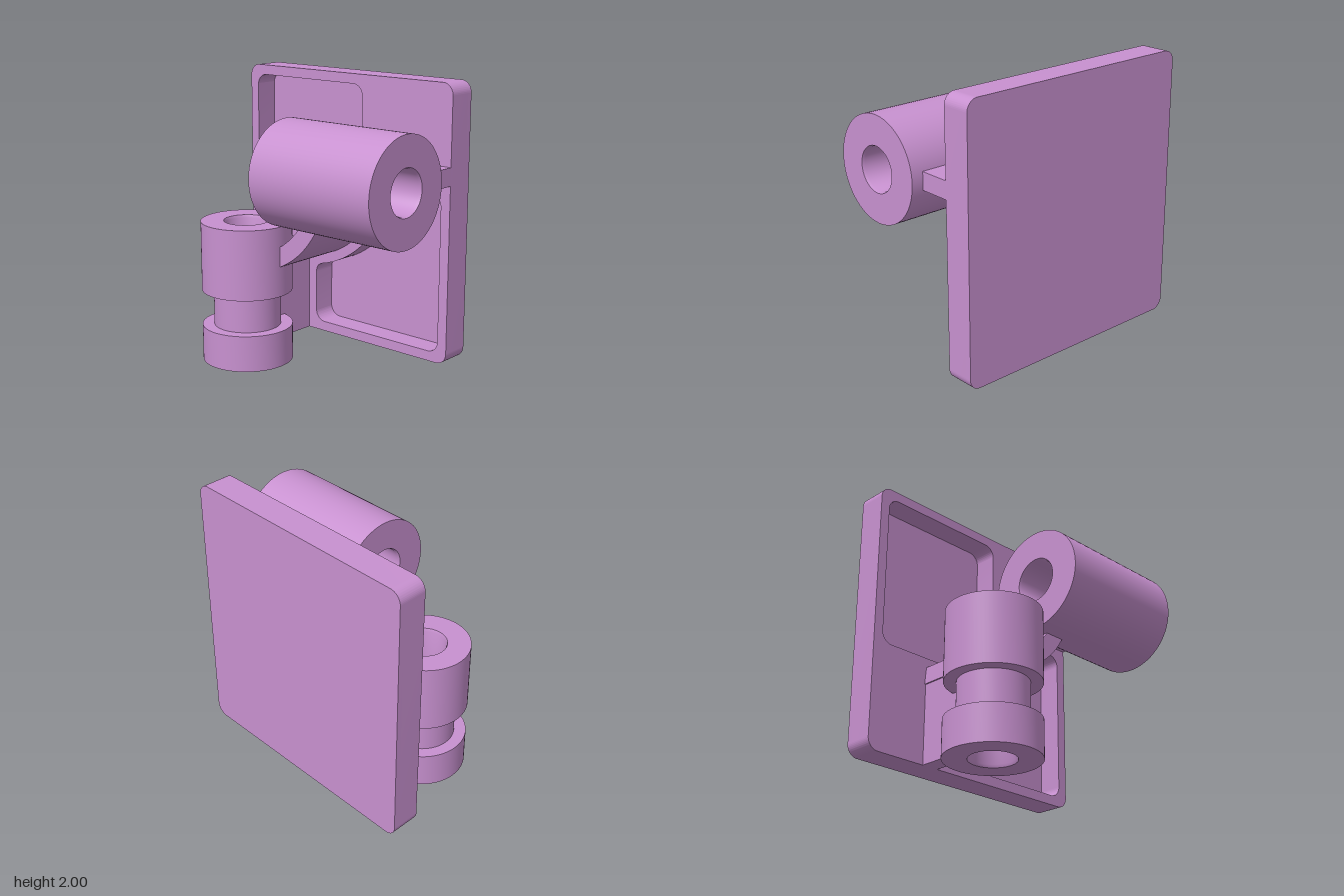
import * as THREE from 'three';
import { toCreasedNormals } from 'three/addons/utils/BufferGeometryUtils.js';

const AX = -0.437, AY = 1.39, AZ = 0.213; // bore axes: vertical at x = AX, horizontal at y = AY
const BACK = -0.577, FLOOR = -0.54, FACE = -0.37;
const RIB = 0.062, ARC = 0.68, WALL = 0.07;

export function createModel() {
  const group = new THREE.Group();
  const mauve = new THREE.MeshStandardMaterial({ color: 0xc891d0 });
  mauve.name = 'mauve';

  const add = (name, geometry) => {
    const mesh = new THREE.Mesh(toCreasedNormals(geometry, 0.5), mauve);
    mesh.name = name;
    group.add(mesh);
    return mesh;
  };
  const slab = (name, shape, z0, z1) => {
    const g = new THREE.ExtrudeGeometry(shape, { depth: z1 - z0, bevelEnabled: false, curveSegments: 32 });
    g.translate(0, 0, z0);
    return add(name, g);
  };
  const box = (name, x0, x1, y0, y1, z0, z1) => {
    const g = new THREE.BoxGeometry(x1 - x0, y1 - y0, z1 - z0);
    g.translate((x0 + x1) / 2, (y0 + y1) / 2, (z0 + z1) / 2);
    return add(name, g);
  };

  // Rounded square back plate
  const plateShape = () => {
    const s = new THREE.Shape(), r = 0.08, x0 = -0.95, x1 = 0.862, y0 = 0.09, y1 = 2;
    s.absarc(x1 - r, y0 + r, r, -Math.PI / 2, 0);
    s.absarc(x1 - r, y1 - r, r, 0, Math.PI / 2);
    s.absarc(x0 + r, y1 - r, r, Math.PI / 2, Math.PI);
    s.absarc(x0 + r, y0 + r, r, Math.PI, Math.PI * 1.5);
    s.closePath();
    return s;
  };

  // Upper pocket, inside the bend
  const rIn = ARC - RIB - WALL, r = 0.08;
  const upper = new THREE.Path();
  upper.absarc(AX, AY, rIn, -Math.PI / 2, 0);
  upper.absarc(AX + rIn - r, 1.93 - r, r, 0, Math.PI / 2);
  upper.absarc(-0.88 + r, 1.93 - r, r, Math.PI / 2, Math.PI);
  upper.absarc(-0.88 + r, AY - rIn + r, r, Math.PI, Math.PI * 1.5);
  upper.closePath();

  // Lower pocket, outside the bend
  const rOut = ARC + RIB + WALL, off = RIB + WALL;
  const px = AX + off, py = AY - off;
  const a0 = Math.asin(off / rOut), da = 0.08;
  const at = (a) => [AX + rOut * Math.cos(a), AY + rOut * Math.sin(a)];
  const reach = Math.sqrt(rOut * rOut - off * off);
  const lower = new THREE.Path();
  lower.absarc(0.79 - r, 0.16 + r, r, -Math.PI / 2, 0);
  lower.absarc(0.79 - r, py - r, r, 0, Math.PI / 2);
  lower.lineTo(AX + reach + 0.06, py);
  lower.quadraticCurveTo(AX + reach, py, ...at(-a0 - da));
  lower.absarc(AX, AY, rOut, -a0 - da, -Math.PI / 2 + a0 + da, true);
  lower.quadraticCurveTo(px, AY - reach, px, AY - reach - 0.06);
  lower.absarc(px + r, 0.16 + r, r, Math.PI, Math.PI * 1.5);
  lower.closePath();

  const frame = plateShape();
  frame.holes.push(upper, lower);
  slab('plateBack', plateShape(), BACK, FLOOR);
  slab('plateFrame', frame, FLOOR, FACE);

  // Curved rib joining the two sleeves; its deep part stops short of the bores
  const bend = (a, b) => {
    const s = new THREE.Shape();
    s.absarc(AX, AY, ARC + RIB, a, b);
    s.absarc(AX, AY, ARC - RIB, b, a, true);
    s.closePath();
    return s;
  };
  const deg = Math.PI / 180;
  slab('curvedRib', bend(-95.5 * deg, 5.5 * deg), FACE, 0.02);
  slab('curvedRibFront', bend(-70 * deg, -20 * deg), 0.02, AZ);

  // Straight ribs running to the plate edges
  box('verticalRib', AX - RIB, AX + RIB, 0.09, AY - ARC, FACE, 0.02);
  box('horizontalRib', AX + ARC - 0.04, 0.862, AY - RIB, AY + RIB, FACE, 0.02);

  // Bored sleeves, turned from an outer profile (bottom to top)
  const sleeve = (name, length, outer) => {
    const bore = 0.15, lip = 0.158, c = 0.02;
    const pts = [[lip, 0], ...outer, [lip, length], [bore, length - c], [bore, c], [lip, 0]];
    return add(name, new THREE.LatheGeometry(pts.map(([x, y]) => new THREE.Vector2(x, y)), 72));
  };
  const R = 0.318, N = 0.235;
  sleeve('verticalSleeve', 1, [[R, 0], [R, 0.255], [N, 0.255], [N, 0.508], [R, 0.508], [R, 1]])
    .position.set(AX, 0, AZ);
  const across = sleeve('horizontalSleeve', 0.995, [[0.365, 0], [0.365, 0.995]]);
  across.rotation.z = -Math.PI / 2;
  across.position.set(-0.047, AY, AZ);

  return group;
}
